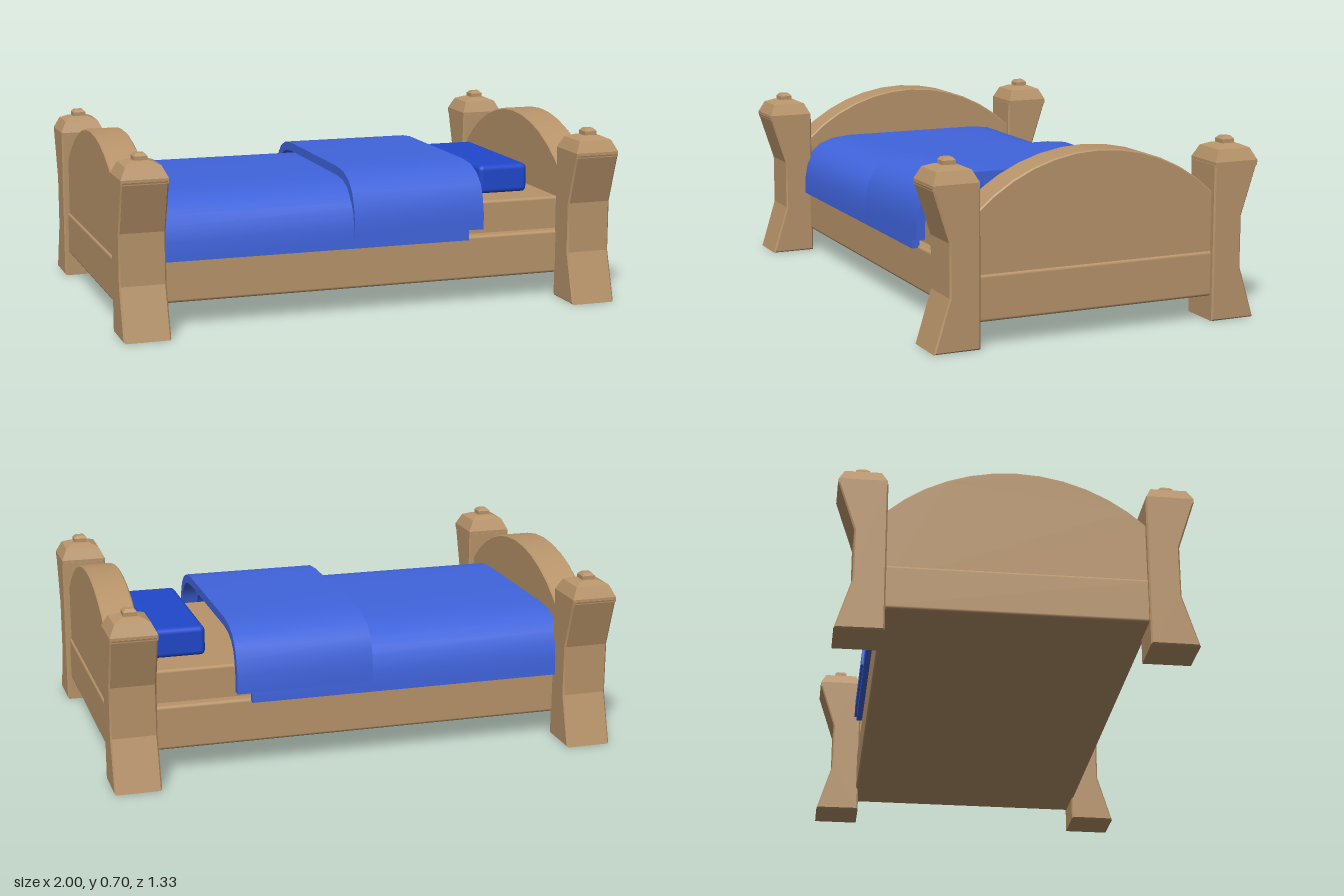
import * as THREE from 'three';
import { toCreasedNormals } from 'three/addons/utils/BufferGeometryUtils.js';
import { RoundedBoxGeometry } from 'three/addons/geometries/RoundedBoxGeometry.js';

const wood = new THREE.MeshStandardMaterial({ color: 0xb8946a });
const woodFlat = new THREE.MeshStandardMaterial({ color: 0xb8946a, flatShading: true });
const cloth = new THREE.MeshStandardMaterial({ color: 0x4064dc });
const pillowCloth = new THREE.MeshStandardMaterial({ color: 0x2048cc });

function add(parent, name, geometry, material, x = 0, y = 0, z = 0) {
  const mesh = new THREE.Mesh(geometry, material);
  mesh.name = name;
  mesh.position.set(x, y, z);
  parent.add(mesh);
  return mesh;
}

// Extrudes a [z, y] outline along x between x0 and x1, with an optional small bevel
function extrudeAlongX(points, x0, x1, bevel = 0, crease = 0.3) {
  const shape = new THREE.Shape(points.map(([z, y]) => new THREE.Vector2(-z, y)));
  const geometry = new THREE.ExtrudeGeometry(shape, {
    depth: x1 - x0 - 2 * bevel, bevelEnabled: bevel > 0, bevelSegments: 1,
    bevelThickness: bevel, bevelSize: bevel, bevelOffset: -bevel,
  });
  geometry.rotateY(Math.PI / 2).translate(x0 + bevel, 0, 0);
  return toCreasedNormals(geometry, crease);
}

// Open arched shell draped over the mattress: outer line out, inner line back
function drape(half, thickness, x0, x1) {
  const mirror = (side) => [...side, ...side.map(([z, y]) => [-z, y]).reverse()];
  const inner = half.map(([z, y], i) => {
    const a = half[Math.max(i - 1, 0)], b = half[Math.min(i + 1, half.length - 1)];
    const dz = b[0] - a[0], dy = b[1] - a[1], l = Math.hypot(dz, dy);
    if (i === 0) return [z - thickness, y];
    if (i === half.length - 1) return [z, y - thickness];
    return [z - (dy / l) * thickness, y + (dz / l) * thickness];
  });
  return extrudeAlongX([...mirror(half), ...mirror(inner).reverse()], x0, x1, 0, 0.7);
}

// Corner post: waisted outer face with a stepped square cap
function createPost(sx, sz) {
  const post = new THREE.Group();
  post.name = 'cornerPost';
  const profile = [[0.48, 0], [0.662, 0], [0.6, 0.2], [0.6, 0.4], [0.665, 0.6], [0.48, 0.6]]
    .map(([z, y]) => [z * sz, y]);
  add(post, 'postBody', extrudeAlongX(profile, -0.09, 0.09, 0.006), wood, sx * 0.908);
  const steps = [[0.09, 0.59], [0.09, 0.61], [0.068, 0.655], [0.038, 0.668],
    [0.026, 0.67], [0.026, 0.685], [0.016, 0.696], [0, 0.696]];
  const cap = new THREE.LatheGeometry(
    steps.map(([r, y]) => new THREE.Vector2(r * Math.SQRT2, y)), 4).rotateY(Math.PI / 4);
  add(post, 'postCap', cap, woodFlat, sx * 0.908, 0, sz * 0.573);
  return post;
}

export function createModel() {
  const bed = new THREE.Group();
  bed.name = 'bed';

  // Solid base frame and mattress
  add(bed, 'baseFrame', new RoundedBoxGeometry(1.96, 0.175, 0.98, 2, 0.012), wood, 0, 0.1825, 0);
  add(bed, 'mattress', new RoundedBoxGeometry(1.72, 0.2, 0.89, 2, 0.012), wood, 0, 0.3, 0);

  // Arched end boards
  const arch = [[0.485, 0.2]];
  const n = 12, radius = 0.7, sweep = Math.asin(0.485 / radius);
  for (let i = 0; i <= n; i++) {
    const a = sweep * (1 - (2 * i) / n);
    arch.push([radius * Math.sin(a), 0.692 - radius + radius * Math.cos(a)]);
  }
  arch.push([-0.485, 0.2]);
  add(bed, 'headboard', extrudeAlongX(arch, 0.84, 0.973, 0.005), wood);
  add(bed, 'footboard', extrudeAlongX(arch, -0.973, -0.84, 0.005), wood);

  // Four corner posts
  for (const sx of [-1, 1]) for (const sz of [-1, 1]) bed.add(createPost(sx, sz));

  // Blanket and its turned-back fold
  const blanket = [[0.513, 0.26], [0.511, 0.33], [0.5, 0.39], [0.475, 0.435],
    [0.435, 0.47], [0.38, 0.492], [0.3, 0.501]];
  const fold = [[0.52, 0.302], [0.518, 0.37], [0.506, 0.43], [0.482, 0.48],
    [0.44, 0.518], [0.38, 0.541], [0.3, 0.549]];
  add(bed, 'blanket', drape(blanket, 0.03, -0.84, 0.43), cloth);
  add(bed, 'blanketFold', drape(fold, 0.035, -0.05, 0.49), cloth);

  // Pillow
  add(bed, 'pillow', new RoundedBoxGeometry(0.214, 0.12, 0.596, 3, 0.022), pillowCloth, 0.668, 0.455, 0.004);

  return bed;
}
